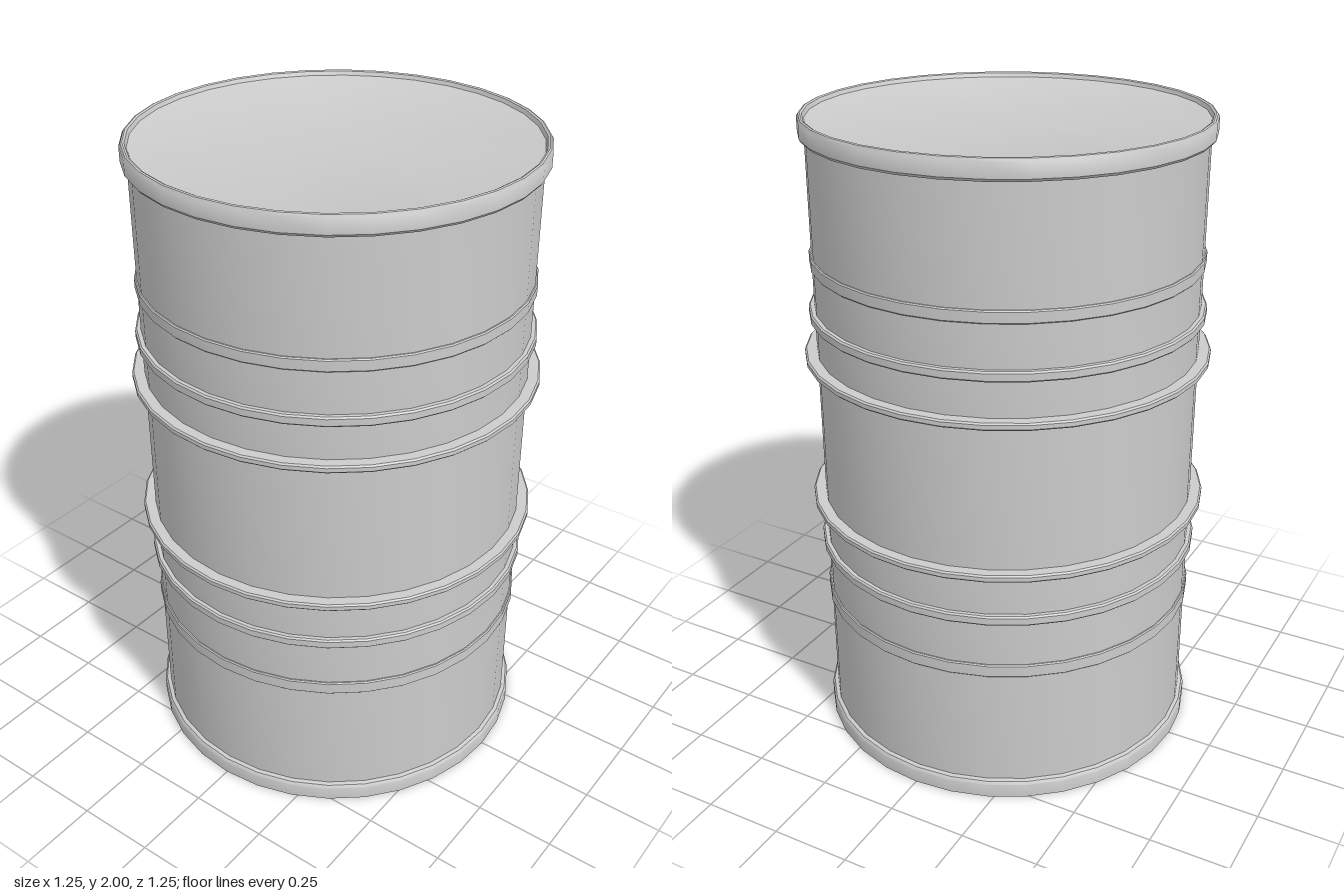
import * as THREE from 'three';
import { toCreasedNormals } from 'three/addons/utils/BufferGeometryUtils.js';

const SIDES = 32;
const WALL = 0.59;

export function createModel() {
  const group = new THREE.Group();
  group.name = 'barrel';
  const material = new THREE.MeshStandardMaterial({ color: 0xcccccc, side: THREE.DoubleSide });

  const addLathe = (name, profile) => {
    const points = profile.map(([r, y]) => new THREE.Vector2(r, y));
    const mesh = new THREE.Mesh(toCreasedNormals(new THREE.LatheGeometry(points, SIDES), 0.6), material);
    mesh.name = name;
    group.add(mesh);
  };

  // Pressed hoops: [bottom, top, outer radius]
  const hoops = [
    [0.438, 0.48, 0.597],
    [0.625, 0.656, 0.607],
    [0.783, 0.806, 0.627],
    [1.26, 1.283, 0.627],
    [1.394, 1.425, 0.607],
    [1.556, 1.594, 0.597],
  ];

  // Thin wall, open below, with a thicker foot band and hollow hoops
  const wall = [[0.608, 0], [0.608, 0.044], [0.602, 0.053], [WALL, 0.056]];
  for (const [low, high, radius] of hoops) {
    const bevel = Math.min(0.005, (radius - WALL) / 2);
    wall.push(
      [WALL, low], [radius - bevel, low], [radius, low + bevel],
      [radius, high - bevel], [radius - bevel, high], [WALL, high],
    );
  }
  wall.push([WALL, 1.936]);
  addLathe('wall', wall);

  // Rolled top rim
  addLathe('topRim', [
    [WALL, 1.936], [0.602, 1.938], [0.608, 1.946], [0.608, 1.99],
    [0.603, 1.998], [0.598, 2], [0.592, 1.997], [0.587, 1.985],
  ]);

  // Slightly recessed lid
  addLathe('lid', [[0.587, 1.985], [0.58, 1.983], [0, 1.983]]);

  return group;
}
